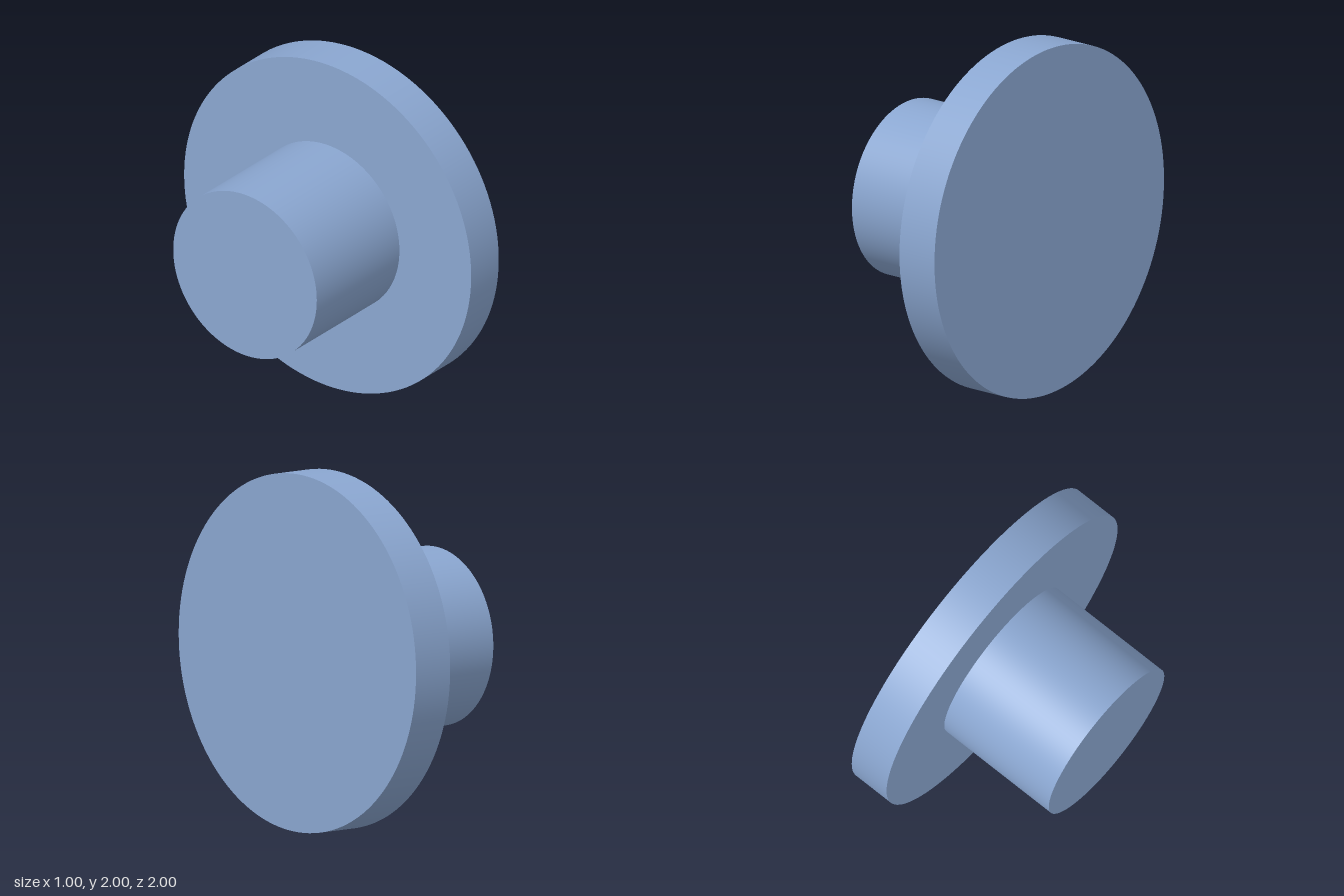
import * as THREE from 'three';

export function createModel() {
  const group = new THREE.Group();
  group.name = 'flangedShaft';
  const steelBlue = new THREE.MeshStandardMaterial({ color: 0x8aa6d0 });
  steelBlue.name = 'steelBlue';

  // Round part lying along x, between two x positions
  function addDisc(name, radius, x0, x1) {
    const geometry = new THREE.CylinderGeometry(radius, radius, x1 - x0, 128);
    geometry.rotateZ(-Math.PI / 2);
    const mesh = new THREE.Mesh(geometry, steelBlue);
    mesh.name = name;
    mesh.position.set((x0 + x1) / 2, 1, 0);
    group.add(mesh);
  }

  addDisc('shaft', 0.5, -0.5, 0.25);
  addDisc('flange', 1, 0.25, 0.5);

  return group;
}
